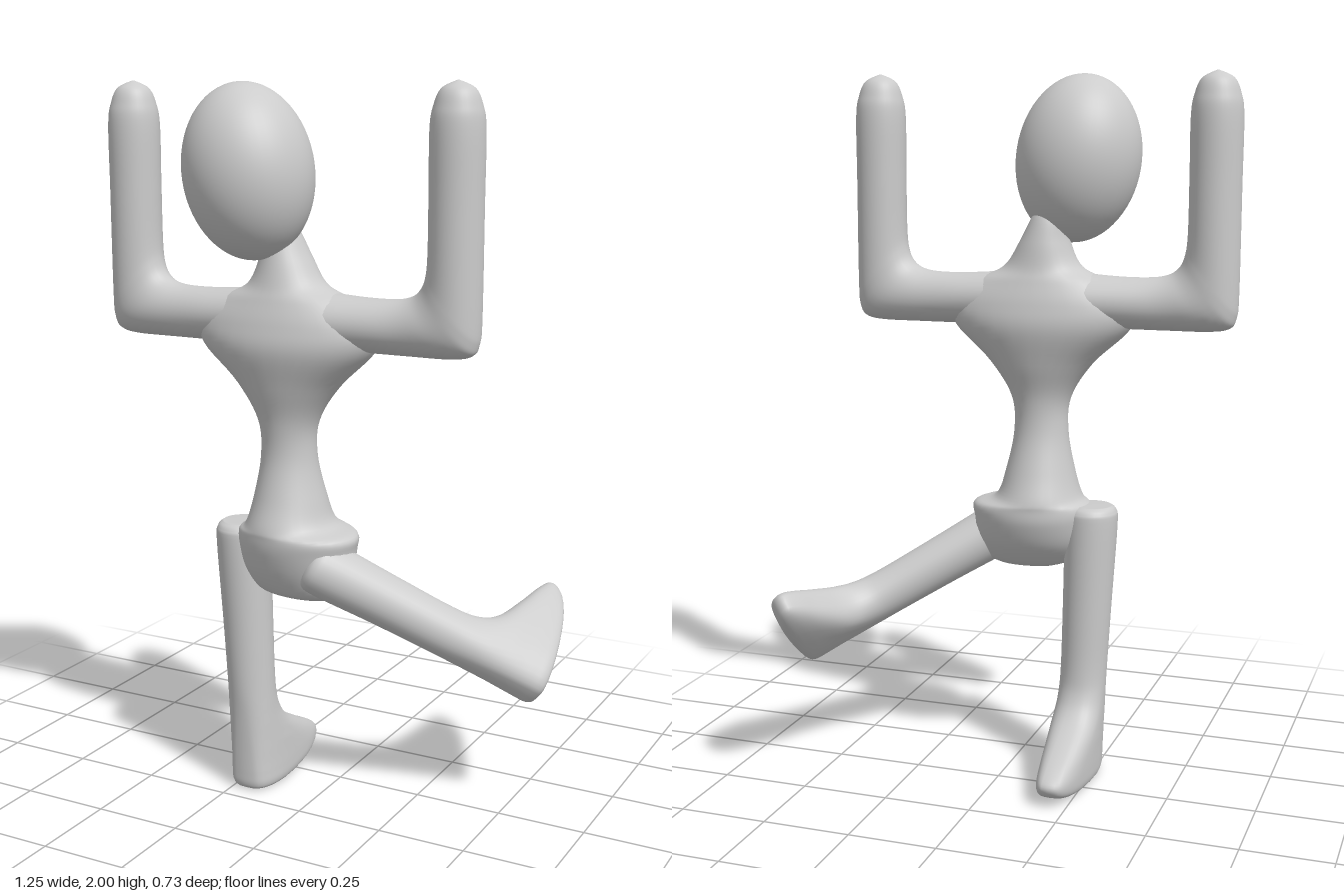
import * as THREE from 'three';

const material = new THREE.MeshStandardMaterial({ color: 0xcccccc, side: THREE.DoubleSide });
const SIDES = 32;

// Smooth capped loft. Station: [cx, cy, cz, ux, uy, rz, power]
// (u = half axis in the xy plane, rz = half depth, power 1 = ellipse, lower = boxier)
function loft(name, stations, steps = 6, warp = null) {
  const rows = [];
  const at = (i) => stations[Math.max(0, Math.min(stations.length - 1, i))];
  for (let i = 0; i < stations.length - 1; i++) {
    const last = i === stations.length - 2;
    for (let k = 0; k < steps + (last ? 1 : 0); k++) {
      const t = k / steps;
      rows.push(at(i).map((b, j) => {
        const c = at(i + 1)[j];
        const m0 = (c - at(i - 1)[j]) / 2, m1 = (at(i + 2)[j] - b) / 2;
        const t2 = t * t, t3 = t2 * t;
        return b * (2 * t3 - 3 * t2 + 1) + m0 * (t3 - 2 * t2 + t) + c * (3 * t2 - 2 * t3) + m1 * (t3 - t2);
      }));
    }
  }
  const pos = [], idx = [];
  const pw = (v, p) => Math.sign(v) * Math.abs(v) ** p;
  for (const [cx, cy, cz, ux, uy, rz, p] of rows) {
    for (let s = 0; s < SIDES; s++) {
      const a = (s / SIDES) * Math.PI * 2;
      const c = pw(Math.cos(a), p), d = pw(Math.sin(a), p);
      const v = new THREE.Vector3(cx + ux * c, cy + uy * c, cz + rz * d);
      if (warp) warp(v);
      pos.push(v.x, v.y, v.z);
    }
  }
  for (let r = 0; r < rows.length - 1; r++) {
    for (let s = 0; s < SIDES; s++) {
      const a = r * SIDES + s, b = r * SIDES + (s + 1) % SIDES;
      idx.push(a, a + SIDES, b, b, a + SIDES, b + SIDES);
    }
  }
  // end caps
  for (const [r, flip] of [[0, false], [rows.length - 1, true]]) {
    const centre = pos.length / 3, base = r * SIDES;
    pos.push(rows[r][0], rows[r][1], rows[r][2]);
    for (let s = 0; s < SIDES; s++) {
      const a = base + s, b = base + (s + 1) % SIDES;
      if (flip) idx.push(centre, b, a); else idx.push(centre, a, b);
    }
  }
  // turn the faces outward
  const V = (i) => new THREE.Vector3().fromArray(pos, i * 3);
  let volume = 0;
  for (let i = 0; i < idx.length; i += 3) volume += V(idx[i]).dot(V(idx[i + 1]).cross(V(idx[i + 2])));
  if (volume < 0) idx.reverse();
  const g = new THREE.BufferGeometry();
  g.setAttribute('position', new THREE.Float32BufferAttribute(pos, 3));
  g.setIndex(idx);
  g.computeVertexNormals();
  const mesh = new THREE.Mesh(g, material);
  mesh.name = name;
  return mesh;
}

// Horizontal section from its extents
const slice = (y, x0, x1, z0, z1, p = 1) =>
  [(x0 + x1) / 2, y, (z0 + z1) / 2, (x1 - x0) / 2, 0, (z1 - z0) / 2, p];

// Bent arm: each entry is inner point, outer point, half depth
function arm(name, side) {
  const pairs = [
    [0.10, 1.455, 0.10, 1.30, 0.10],
    [0.22, 1.447, 0.22, 1.302, 0.085],
    [0.31, 1.447, 0.36, 1.302, 0.073],
    [0.36, 1.455, 0.48, 1.303, 0.073],
    [0.39, 1.475, 0.533, 1.313, 0.073],
    [0.407, 1.51, 0.551, 1.34, 0.073],
    [0.414, 1.57, 0.556, 1.41, 0.072],
    [0.415, 1.72, 0.556, 1.70, 0.072],
    [0.415, 1.88, 0.556, 1.88, 0.072],
    [0.424, 1.94, 0.547, 1.94, 0.062],
    [0.443, 1.98, 0.528, 1.98, 0.043],
    [0.483, 2.0, 0.487, 2.0, 0.002],
  ];
  return loft(name, pairs.map(([ix, iy, ox, oy, rz]) =>
    [side * (ix + ox) / 2 - 0.08, (iy + oy) / 2, 0.15, side * (ox - ix) / 2, (oy - iy) / 2, rz, 1]));
}

// Leg with foot, sole at y = 0, toes towards -z, shaft on the y axis
function leg(name, height, lean) {
  const stations = [
    slice(height, -0.055, 0.055, -0.055, 0.055),
    slice(height - 0.015, -0.07, 0.07, -0.075, 0.075),
    slice(height - 0.06, -0.075, 0.075, -0.08, 0.08),
    slice(0.5, -0.07, 0.07, -0.078, 0.07),
    slice(0.32, -0.067, 0.067, -0.078, 0.064),
    slice(0.24, -0.067, 0.067, -0.09, 0.06, 0.9),
    slice(0.185, -0.069, 0.069, -0.13, 0.058, 0.8),
    slice(0.13, -0.072, 0.072, -0.215, 0.057, 0.7),
    slice(0.085, -0.074, 0.074, -0.29, 0.057, 0.65),
    slice(0.05, -0.075, 0.075, -0.33, 0.057, 0.62),
    slice(0.022, -0.074, 0.074, -0.32, 0.056, 0.62),
    slice(0.006, -0.066, 0.066, -0.28, 0.049, 0.65),
    slice(0, -0.045, 0.045, -0.22, 0.03, 0.7),
  ];
  return loft(name, stations, 5, (v) => {
    // narrow the toes, raise the tip slightly and lean the shaft
    const toe = Math.max(0, -0.08 - v.z);
    v.x *= 1 - toe * 1.3;
    v.y += toe * toe * 0.25;
    v.x += lean * v.y;
  });
}

export function createModel() {
  const model = new THREE.Group();
  model.name = 'dancingFigure';

  // Torso from pelvis to neck
  model.add(loft('torso', [
    slice(0.605, -0.12, 0.05, 0.12, 0.20),
    slice(0.625, -0.17, 0.09, 0.09, 0.235),
    slice(0.68, -0.21, 0.11, 0.045, 0.265),
    slice(0.745, -0.225, 0.118, 0.018, 0.285),
    slice(0.788, -0.225, 0.118, 0.014, 0.29),
    slice(0.815, -0.197, 0.05, 0.018, 0.285),
    slice(0.89, -0.175, 0.022, 0.045, 0.258),
    slice(1.0, -0.156, 0.0, 0.075, 0.232),
    slice(1.1, -0.163, 0.008, 0.075, 0.236),
    slice(1.2, -0.228, 0.072, 0.045, 0.262),
    slice(1.3, -0.335, 0.175, 0.02, 0.285),
    slice(1.37, -0.345, 0.185, 0.027, 0.275),
    slice(1.43, -0.275, 0.115, 0.045, 0.255),
    slice(1.47, -0.195, 0.03, 0.058, 0.24),
    slice(1.54, -0.16, -0.018, 0.07, 0.22),
    slice(1.61, -0.145, -0.055, 0.09, 0.20),
    slice(1.64, -0.12, -0.08, 0.12, 0.17),
  ]));

  // Head
  const head = new THREE.Mesh(new THREE.SphereGeometry(1, 48, 32), material);
  head.name = 'head';
  head.scale.set(0.175, 0.233, 0.177);
  head.rotation.z = 0.15;
  head.position.set(-0.167, 1.766, 0.205);
  model.add(head);

  // Arms
  model.add(arm('leftArm', 1), arm('rightArm', -1));

  // Standing leg
  const rightLeg = leg('rightLeg', 0.795, -0.037);
  rightLeg.position.set(-0.203, 0, 0.149);
  model.add(rightLeg);

  // Raised leg, swung out to the side
  const leftLeg = leg('leftLeg', 0.74, 0);
  const back = new THREE.Vector3(0.1, -0.53, 0.84).normalize();
  const up = new THREE.Vector3(-0.78, 0.53, 0.325);
  up.addScaledVector(back, -up.dot(back)).normalize();
  const across = new THREE.Vector3().crossVectors(up, back);
  leftLeg.quaternion.setFromRotationMatrix(new THREE.Matrix4().makeBasis(across, up, back));
  leftLeg.position.set(0.585, 0.366, -0.086);
  model.add(leftLeg);

  return model;
}
